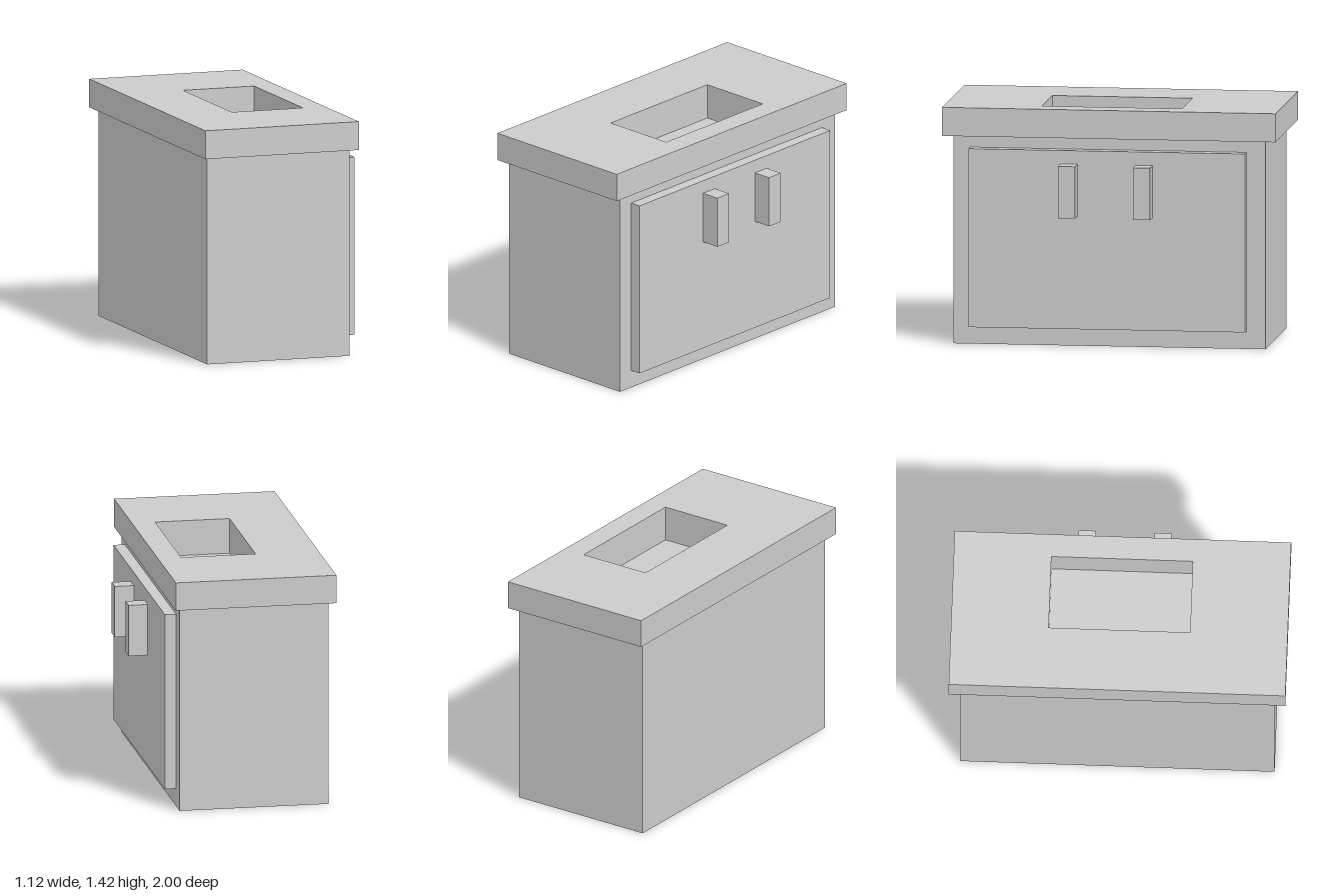
import * as THREE from 'three';

const material = new THREE.MeshStandardMaterial({ color: 0xcccccc });

// Footprint of the basin cut through the countertop
const basin = { x0: -0.18, x1: 0.27, z: 0.42 };
const basinFloor = 1.205;

function addMesh(parent, name, geometry) {
  const mesh = new THREE.Mesh(geometry, material);
  mesh.name = name;
  parent.add(mesh);
  return mesh;
}

// Solid box given by its limits on each axis
function addBox(parent, name, [x0, x1], [y0, y1], [z0, z1]) {
  const mesh = addMesh(parent, name, new THREE.BoxGeometry(x1 - x0, y1 - y0, z1 - z0));
  mesh.position.set((x0 + x1) / 2, (y0 + y1) / 2, (z0 + z1) / 2);
}

function trace(path, x0, x1, z) {
  path.moveTo(x0, -z).lineTo(x1, -z).lineTo(x1, z).lineTo(x0, z).closePath();
  return path;
}

// Horizontal slab with the basin opening cut through it
function addSlab(parent, name, x0, x1, z, y0, y1) {
  const shape = trace(new THREE.Shape(), x0, x1, z);
  shape.holes.push(trace(new THREE.Path(), basin.x0, basin.x1, basin.z));
  const geometry = new THREE.ExtrudeGeometry(shape, { depth: y1 - y0, bevelEnabled: false });
  geometry.rotateX(-Math.PI / 2);
  addMesh(parent, name, geometry).position.y = y0;
}

export function createModel() {
  const model = new THREE.Group();
  model.name = 'sinkCabinet';

  // Cabinet: its solid top is the basin floor, with a rim around the basin
  addBox(model, 'cabinet', [-0.525, 0.375], [0, basinFloor], [-0.935, 0.935]);
  addSlab(model, 'cabinetRim', -0.525, 0.375, 0.935, basinFloor, 1.247);

  // Overhanging countertop
  addSlab(model, 'countertop', -0.56, 0.41, 1, 1.247, 1.418);

  // Raised door panel and its two handles
  addBox(model, 'doorPanel', [0.375, 0.443], [0.108, 1.178], [-0.822, 0.837]);
  for (const [name, z] of [['leftHandle', -0.217], ['rightHandle', 0.233]]) {
    addBox(model, name, [0.443, 0.558], [0.787, 1.098], [z - 0.051, z + 0.051]);
  }
  return model;
}
